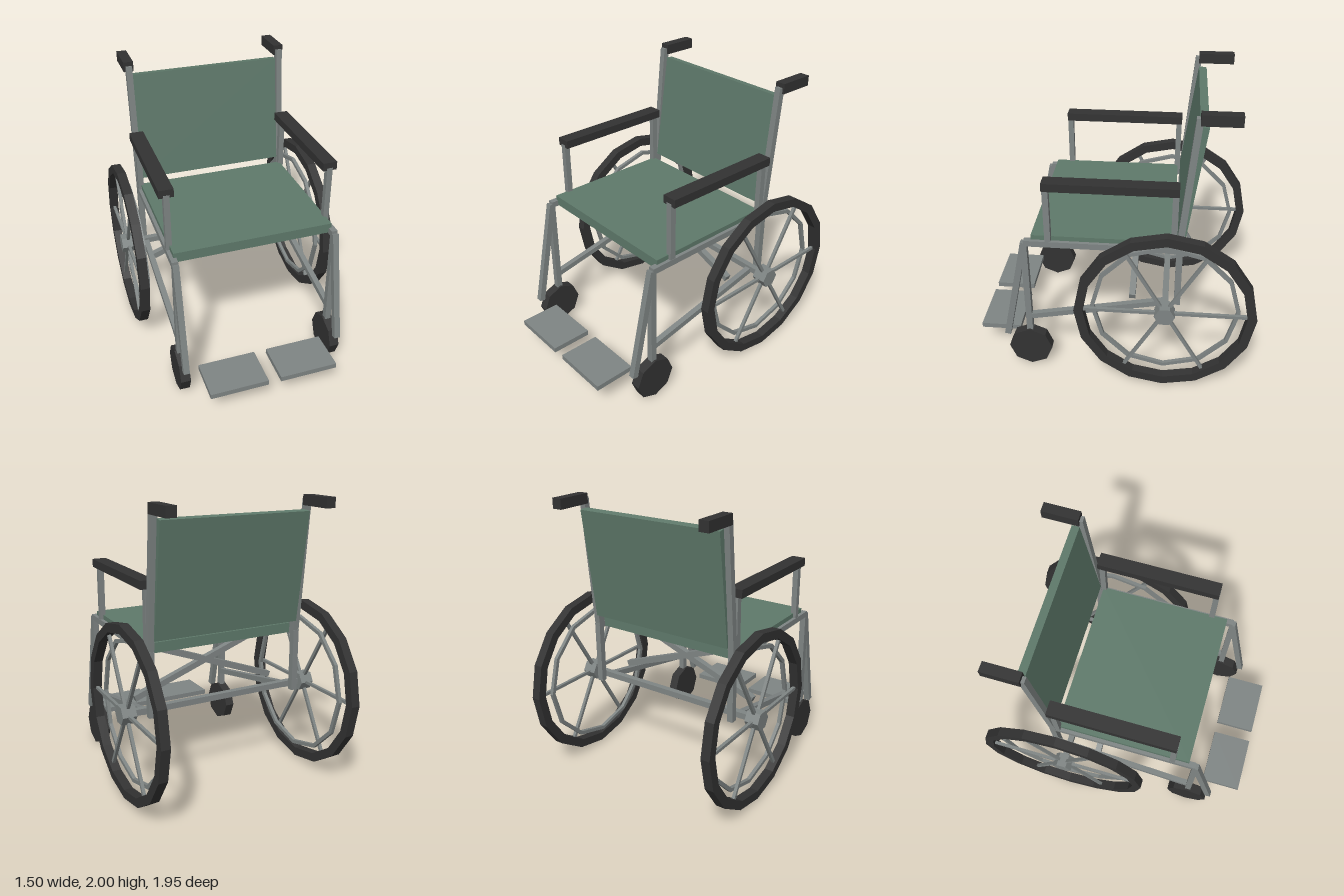
import * as THREE from 'three';

const frameGrey = new THREE.MeshStandardMaterial({ color: 0x7f8584 });
frameGrey.name = 'frame grey';
const fabricGreen = new THREE.MeshStandardMaterial({ color: 0x5f7a6b });
fabricGreen.name = 'fabric green';
const rubberBlack = new THREE.MeshStandardMaterial({ color: 0x333333 });
rubberBlack.name = 'rubber black';

function add(parent, name, geometry, material) {
  const mesh = new THREE.Mesh(geometry, material);
  mesh.name = name;
  parent.add(mesh);
  return mesh;
}

function box(parent, name, material, size, position) {
  const mesh = add(parent, name, new THREE.BoxGeometry(...size), material);
  mesh.position.set(...position);
  return mesh;
}

// Square bar from a to b, lying in a plane of constant x or constant z
function bar(parent, name, a, b, thickness = 0.043) {
  const start = new THREE.Vector3(...a);
  const dir = new THREE.Vector3(...b).sub(start);
  const mesh = add(parent, name, new THREE.BoxGeometry(thickness, dir.length(), thickness), frameGrey);
  mesh.position.copy(start).addScaledVector(dir, 0.5);
  mesh.quaternion.setFromUnitVectors(new THREE.Vector3(0, 1, 0), dir.normalize());
  return mesh;
}

function flat(geometry) {
  const g = geometry.toNonIndexed();
  g.computeVertexNormals();
  return g;
}

// Faceted ring with a rectangular section, its axis along x
function ring(inner, outer, width, sides) {
  const h = width / 2;
  const section = [[inner, -h], [outer, -h], [outer, h], [inner, h], [inner, -h]];
  const points = section.map(([r, y]) => new THREE.Vector2(r, y));
  return flat(new THREE.LatheGeometry(points, sides).rotateZ(Math.PI / 2));
}

// Faceted solid disc with its axis along x
function disc(radius, width, sides) {
  return flat(new THREE.CylinderGeometry(radius, radius, width, sides).rotateZ(Math.PI / 2));
}

function createWheel(side) {
  const wheel = new THREE.Group();
  wheel.name = 'rearWheel';
  add(wheel, 'tire', ring(0.547, 0.61, 0.064, 16), rubberBlack);
  add(wheel, 'handRim', ring(0.478, 0.505, 0.025, 12), frameGrey).position.x = -side * 0.045;
  add(wheel, 'hub', disc(0.07, 0.1, 6), frameGrey);
  for (let i = 0; i < 3; i++) {
    const spoke = box(wheel, 'spokePair', frameGrey, [0.022, 0.022, 1.1], [0, 0, 0]);
    spoke.rotation.x = i * Math.PI / 3;
  }
  wheel.position.set(side * 0.7025, 0.622, -0.367);
  return wheel;
}

function createSide(side) {
  const group = new THREE.Group();
  group.name = side > 0 ? 'leftSide' : 'rightSide';
  const x = side * 0.56;

  // Tubular frame
  bar(group, 'seatRail', [x, 1.038, 0.587], [x, 1.038, -0.465]);
  bar(group, 'frontPost', [x, 1.04, 0.587], [x, 0.16, 0.587]);
  bar(group, 'legHanger', [x, 1.04, 0.587], [x, 0.252, 0.753]);
  bar(group, 'rearPost', [x, 1.05, -0.447], [x, 0.6, -0.447]);
  bar(group, 'backCane', [x, 1.03, -0.442], [x, 1.97, -0.528]);
  bar(group, 'lowerStrut', [x, 0.42, 0.587], [x, 0.61, -0.367], 0.04);

  // Armrest and push handle
  bar(group, 'armrestFrontPost', [x, 1.04, 0.422], [x, 1.47, 0.422], 0.04);
  bar(group, 'armrestRearPost', [x, 1.04, -0.408], [x, 1.47, -0.408], 0.04);
  box(group, 'armrest', rubberBlack, [0.1, 0.057, 0.87], [x, 1.482, 0.005]);
  box(group, 'pushHandle', rubberBlack, [0.07, 0.07, 0.25], [x, 1.965, -0.655]);

  // Wheels and foot plate
  group.add(createWheel(side));
  add(group, 'casterWheel', disc(0.155, 0.07, 8), rubberBlack).position.set(x, 0.156, 0.587);
  box(group, 'footPlate', frameGrey, [0.41, 0.037, 0.29], [side * 0.25, 0.208, 0.832]);
  return group;
}

export function createModel() {
  const model = new THREE.Group();
  model.name = 'wheelchair';
  for (const side of [-1, 1]) {
    model.add(createSide(side));
    // Folding cross brace
    bar(model, 'crossBrace', [side * 0.55, 0.625, -0.14], [-side * 0.55, 1.03, -0.14]);
  }
  bar(model, 'axle', [-0.68, 0.622, -0.367], [0.68, 0.622, -0.367], 0.042);

  // Fabric seat and leaning backrest
  box(model, 'seat', fabricGreen, [1.115, 0.07, 0.95], [0, 1.058, 0.063]);
  const back = box(model, 'backrest', fabricGreen, [1.085, 0.78, 0.055], [0, 1.513, -0.508]);
  back.rotation.x = -0.133;
  return model;
}
